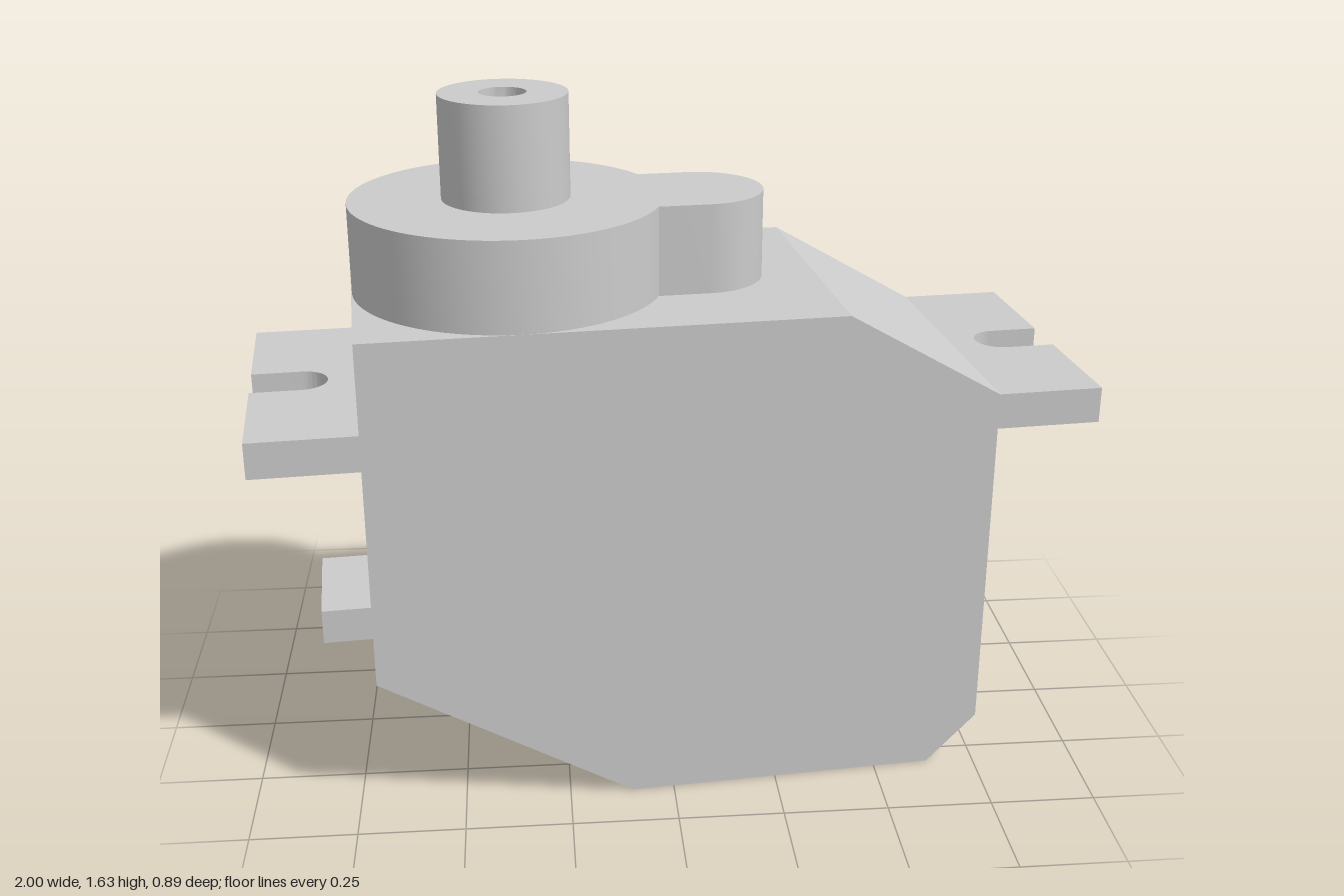
import * as THREE from 'three';
import { toCreasedNormals } from 'three/addons/utils/BufferGeometryUtils.js';

const HALF_WIDTH = 0.3625;
const HALF_BODY = 0.725;
const HALF_LENGTH = 0.971;

const material = new THREE.MeshStandardMaterial({ color: 0xcccccc });

function addMesh(parent, geometry, name) {
  const mesh = new THREE.Mesh(toCreasedNormals(geometry, 0.5), material);
  mesh.name = name;
  parent.add(mesh);
  return mesh;
}

// Extrudes a plan outline upwards from y0 to y1
function extrudeUp(shape, y0, y1) {
  const geometry = new THREE.ExtrudeGeometry(shape, { depth: y1 - y0, bevelEnabled: false, curveSegments: 40 });
  return geometry.rotateX(-Math.PI / 2).translate(0, y0, 0);
}

export function createModel() {
  const model = new THREE.Group();
  model.name = 'servoMotor';

  // Everything sits slightly turned about the vertical axis
  const servo = new THREE.Group();
  servo.name = 'servo';
  servo.rotation.y = THREE.MathUtils.degToRad(5);
  model.add(servo);

  // Case: side profile with cut corners
  const profile = new THREE.Shape([
    [-0.132, 0], [0.606, 0], [HALF_BODY, 0.12], [HALF_BODY, 0.97],
    [0.365, 1.18], [-HALF_BODY, 1.18], [-HALF_BODY, 0.35],
  ].map(([x, y]) => new THREE.Vector2(x, y)));
  const body = new THREE.ExtrudeGeometry(profile, { depth: HALF_WIDTH * 2, bevelEnabled: false });
  addMesh(servo, body.translate(0, 0, -HALF_WIDTH), 'case');

  // Mounting tabs with an open rounded screw slot
  const slotRadius = 0.061;
  const slotCentre = 0.853;
  const tab = new THREE.Shape();
  tab.moveTo(HALF_BODY, -HALF_WIDTH);
  tab.lineTo(HALF_LENGTH, -HALF_WIDTH);
  tab.lineTo(HALF_LENGTH, -slotRadius);
  tab.lineTo(slotCentre, -slotRadius);
  tab.absarc(slotCentre, 0, slotRadius, -Math.PI / 2, -Math.PI * 1.5, true);
  tab.lineTo(HALF_LENGTH, slotRadius);
  tab.lineTo(HALF_LENGTH, HALF_WIDTH);
  tab.lineTo(HALF_BODY, HALF_WIDTH);
  tab.closePath();
  for (const [name, turn] of [['leftMountingTab', 0], ['rightMountingTab', Math.PI]]) {
    addMesh(servo, extrudeUp(tab, 0.885, 0.97), name).rotation.y = turn;
  }

  // Gear housing: large round with a smaller rounded lobe
  const gearX = -0.361;
  const gearRadius = 0.362;
  const lobeX = 0.089;
  const lobeRadius = 0.15;
  const meet = Math.asin(lobeRadius / gearRadius);
  const housing = new THREE.Shape();
  housing.absarc(gearX, 0, gearRadius, meet, Math.PI * 2 - meet, false);
  housing.absarc(lobeX, 0, lobeRadius, -Math.PI / 2, Math.PI / 2, false);
  housing.closePath();
  addMesh(servo, extrudeUp(housing, 1.18, 1.39), 'gearHousing');

  // Output shaft with a blind screw hole
  const shaftProfile = [
    [0, 1.39], [0.148, 1.39], [0.148, 1.63], [0.054, 1.63], [0.054, 1.4], [0, 1.4],
  ].map(([r, y]) => new THREE.Vector2(r, y));
  addMesh(servo, new THREE.LatheGeometry(shaftProfile, 40), 'outputShaft').position.x = gearX;

  // Cable outlet low on one end
  const outlet = new THREE.BoxGeometry(0.12, 0.085, 0.285);
  addMesh(servo, outlet, 'cableOutlet').position.set(-HALF_BODY - 0.06, 0.3925, 0);

  return model;
}
